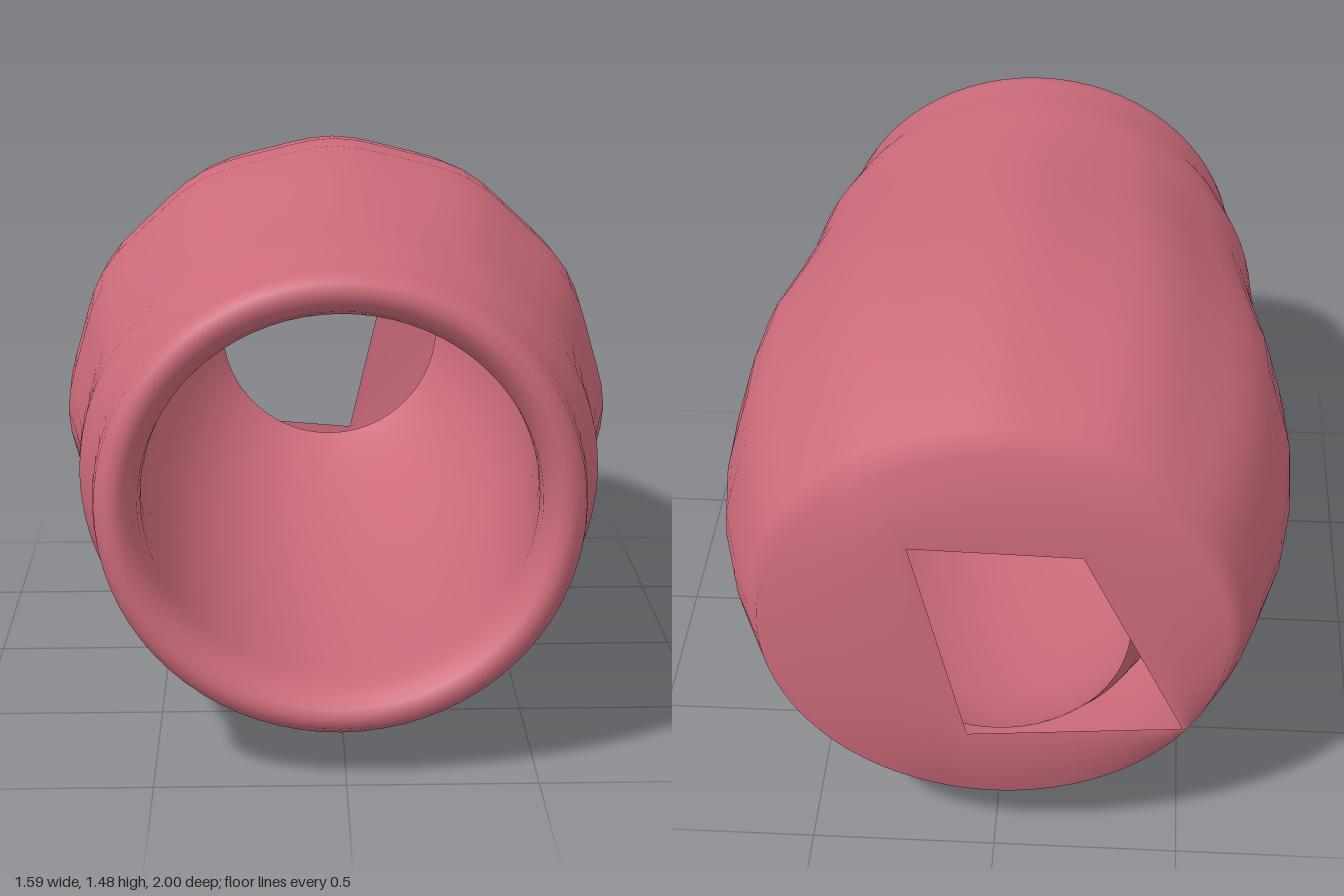
import * as THREE from 'three';

const N = 72;
const CY = 0.745;

// elliptical ring with slight lumps; its centre drifts a little along the barrel
function ring([z, rx, ry, lump = 0]) {
  const cx = -0.015 * Math.max(0, z);
  const cy = CY + 0.018 * Math.max(0, -z) ** 2;
  return Array.from({ length: N }, (_, j) => {
    const t = (j / N) * Math.PI * 2;
    const k = 1 + lump * Math.cos(12 * t);
    return new THREE.Vector3(cx + Math.cos(t) * rx * k, cy + Math.sin(t) * ry * k, z);
  });
}

// ring lying on a four-cornered outline, with samples snapped to its corners
function quadRing(corners, z) {
  const step = (Math.PI * 2) / N;
  const slots = corners.map(([x, y]) => {
    const a = Math.atan2(y - CY, x);
    return Math.round((a < 0 ? a + Math.PI * 2 : a) / step);
  });
  const points = [];
  corners.forEach(([x, y], c) => {
    const [nx, ny] = corners[(c + 1) % 4];
    const count = (slots[(c + 1) % 4] - slots[c] + N) % N;
    for (let i = 0; i < count; i++) {
      const f = i / count;
      points[(slots[c] + i) % N] = new THREE.Vector3(x + (nx - x) * f, y + (ny - y) * f, z);
    }
  });
  return points;
}

// smooth closed skin through a list of rings
function loft(rings) {
  const geometry = new THREE.BufferGeometry().setFromPoints(rings.flat());
  const index = [];
  for (let i = 0; i < rings.length - 1; i++) {
    for (let j = 0; j < N; j++) {
      const a = i * N + j, b = i * N + ((j + 1) % N);
      index.push(a, a + N, b, b, a + N, b + N);
    }
  }
  geometry.setIndex(index);
  geometry.computeVertexNormals();
  return geometry;
}

export function createModel() {
  const group = new THREE.Group();
  const rose = new THREE.MeshStandardMaterial({ color: 0xcd6b7a, side: THREE.DoubleSide });
  rose.name = 'rose';

  // hollow bowl inside, from its round back hole to the lip
  const inner = [
    [-0.96, 0.355, 0.362], [-0.9, 0.4, 0.4], [-0.8, 0.45, 0.445], [-0.65, 0.5, 0.49],
    [-0.4, 0.545, 0.53], [-0.1, 0.565, 0.55], [0.2, 0.56, 0.545], [0.5, 0.54, 0.53],
    [0.75, 0.52, 0.505], [0.87, 0.512, 0.493],
  ];
  // rounded lip
  const lip = [
    [0.93, 0.516, 0.496], [0.965, 0.53, 0.51], [0.99, 0.552, 0.534], [1, 0.575, 0.56],
    [0.992, 0.601, 0.587], [0.965, 0.623, 0.607],
  ];
  // swelling outside, down to the back rim
  const outer = [
    [0.92, 0.63, 0.612], [0.82, 0.638, 0.622], [0.75, 0.66, 0.638], [0.65, 0.688, 0.649],
    [0.55, 0.695, 0.653, 0.003], [0.4, 0.705, 0.67, 0.005], [0.2, 0.737, 0.695, 0.007],
    [0, 0.775, 0.72, 0.009], [-0.2, 0.786, 0.734, 0.009], [-0.4, 0.778, 0.725, 0.009],
    [-0.6, 0.75, 0.7, 0.008], [-0.8, 0.695, 0.642, 0.006], [-0.92, 0.645, 0.593, 0.003],
    [-1, 0.61, 0.556],
  ];
  // skewed four-cornered opening in the back face
  const opening = [[0.215, 1.03], [-0.23, 1.02], [-0.5, 0.46], [0.07, 0.41]];

  const rings = [...inner, ...lip, ...outer].map(ring);
  const body = new THREE.Mesh(loft([...rings, quadRing(opening, -1)]), rose);
  body.name = 'hollowBarrel';

  group.add(body);
  return group;
}
